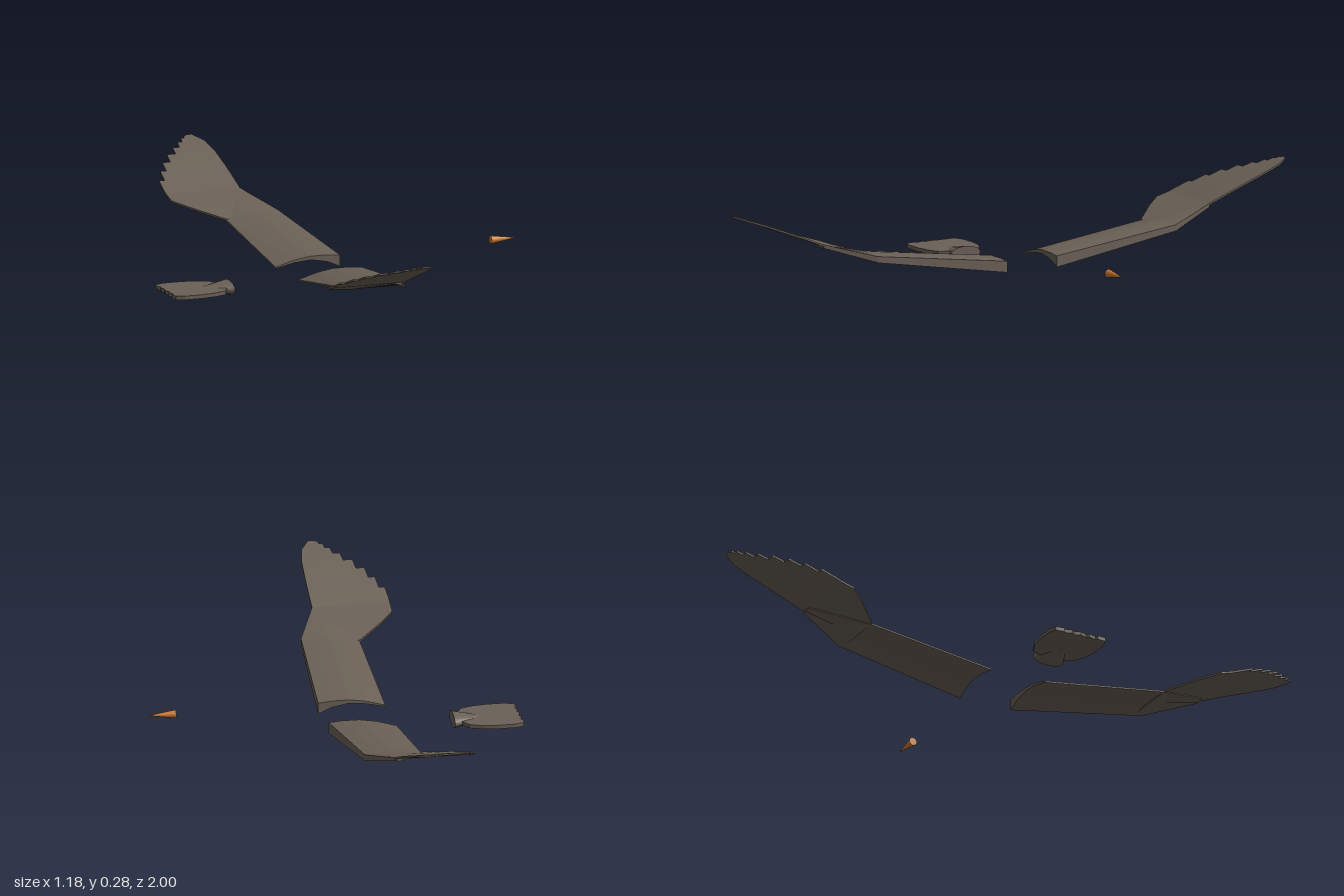
import * as THREE from 'three';

const feather = new THREE.MeshStandardMaterial({ color: 0x6a6056 });
feather.name = 'feather brown';
const horn = new THREE.MeshStandardMaterial({ color: 0xcc7a2c });
horn.name = 'beak orange';

// Piecewise linear lookup through [t, value] pairs.
function lookup(pairs, t) {
  for (let i = 1; i < pairs.length; i++) {
    const [a, va] = pairs[i - 1], [b, vb] = pairs[i];
    if (t <= b) return va + (vb - va) * THREE.MathUtils.clamp((t - a) / (b - a), 0, 1);
  }
  return pairs[pairs.length - 1][1];
}

// Skins closed rings (lower edge rear to front, upper edge front to rear), side -1 mirrors in z.
function loft(rings, side = 1) {
  const pos = [], n = rings[0].length;
  const tri = (a, b, c) => {
    for (const p of side > 0 ? [a, b, c] : [a, c, b]) pos.push(p[0], p[1], p[2] * side);
  };
  const quad = (a, b, c, d) => { tri(a, b, c); tri(a, c, d); };
  for (let r = 0; r < rings.length - 1; r++) {
    const a = rings[r], b = rings[r + 1];
    for (let i = 0; i < n; i++) {
      const j = (i + 1) % n;
      quad(a[i], a[j], b[j], b[i]);
    }
  }
  const first = rings[0], last = rings[rings.length - 1];
  for (let i = 0; i < n / 2 - 1; i++) {
    quad(last[i], last[i + 1], last[n - 2 - i], last[n - 1 - i]);
    quad(first[n - 1 - i], first[n - 2 - i], first[i + 1], first[i]);
  }
  const g = new THREE.BufferGeometry();
  g.setAttribute('position', new THREE.Float32BufferAttribute(pos, 3));
  g.computeVertexNormals();
  return g;
}

function part(name, geometry, material) {
  const m = new THREE.Mesh(geometry, material);
  m.name = name;
  return m;
}

// Cambered arm section: a blunt front edge and a thin, hollow rear.
function armRing(zRear, zFront, rear, front, yRear, yLow, yHigh, camber) {
  const at = (t, y) => [rear + (front - rear) * t, y, zRear + (zFront - zRear) * t];
  const steps = [0, 0.3, 0.55, 0.8, 1];
  const top = t => yRear + 0.005 + (yHigh - yRear - 0.005) * t + camber * Math.sin(Math.PI * t);
  const thick = lookup.bind(null, [[0, 0.005], [0.55, 0.012], [0.8, (yHigh - yLow) * 0.6], [1, yHigh - yLow]]);
  return [
    ...steps.map(t => at(t, top(t) - thick(t))),
    ...steps.slice().reverse().map(t => at(t, top(t))),
  ];
}

const handFront = [[0.52, -0.01], [0.54, -0.003], [0.7, -0.065], [0.8, -0.066], [0.9, -0.07], [0.96, -0.08], [1, -0.108]];
const handRear = [[0.52, -0.183], [0.6, -0.265], [0.655, -0.312], [0.72, -0.313], [0.76, -0.295],
  [0.81, -0.27], [0.86, -0.235], [0.92, -0.185], [0.97, -0.15], [1, -0.128]];
const handHeight = [[0.52, 0.112], [0.6, 0.137], [0.7, 0.165], [0.8, 0.205], [0.9, 0.242], [1, 0.276]];

function handRing(z, rear) {
  const front = lookup(handFront, z), y = lookup(handHeight, z), h = 0.004;
  return [[rear, y - h, z], [front, y - h, z], [front, y + h / 2, z], [rear, y + h / 2, z]];
}

function wing(name, side) {
  const g = new THREE.Group();
  g.name = name;
  // Arm, thinning to a point over the wrist
  g.add(part('wingArm', loft([
    armRing(0.095, 0.09, -0.185, 0.03, 0.045, 0.036, 0.072, 0.014),
    armRing(0.52, 0.54, -0.183, 0, 0.107, 0.104, 0.124, 0.008),
    armRing(0.7, 0.7, -0.1, -0.065, 0.158, 0.155, 0.166, 0),
  ], side), feather));
  // Hand with stepped feather ends along the rear edge
  const rings = [0.52, 0.54, 0.6, 0.655, 0.7].map(z => handRing(z, lookup(handRear, z)));
  const teeth = 9;
  for (let i = 0; i < teeth; i++) {
    const z0 = 0.72 + 0.28 * Math.sin((i / teeth) * Math.PI / 2);
    const z1 = 0.72 + 0.28 * Math.sin(((i + 1) / teeth) * Math.PI / 2);
    const rear = lookup(handRear, z0);
    rings.push(handRing(z0, rear), handRing(z1, rear + 0.004));
  }
  g.add(part('wingHand', loft(rings, side), feather));
  return g;
}

function tail() {
  const g = new THREE.Group();
  g.name = 'tail';
  // Fan of feathers: half outline mirrored across z
  const half = [[-0.39, 0.012], [-0.405, 0.045], [-0.42, 0.075], [-0.46, 0.092], [-0.51, 0.099], [-0.565, 0.098], [-0.592, 0.088],
    [-0.595, 0.06], [-0.588, 0.055], [-0.595, 0.03], [-0.588, 0.022]];
  const outline = [...half, [-0.595, 0], ...half.map(([x, z]) => [x, -z]).reverse()];
  const fan = new THREE.ExtrudeGeometry(new THREE.Shape(outline.map(p => new THREE.Vector2(...p))),
    { depth: 0.012, bevelEnabled: false });
  fan.rotateX(Math.PI / 2);
  fan.translate(0, 0.03, 0);
  g.add(part('tailFan', fan, feather));
  // Flattened cone that joins the body
  const root = new THREE.CylinderGeometry(1, 0.3, 0.09, 16);
  root.rotateZ(-Math.PI / 2);
  root.scale(1, 0.0225, 0.054);
  root.translate(-0.425, 0.0235, 0);
  g.add(part('tailRoot', root, feather));
  return g;
}

export function createModel() {
  const model = new THREE.Group();
  model.name = 'bird';
  model.add(wing('leftSideWing', 1), wing('rightSideWing', -1), tail());
  // Beak
  const beak = new THREE.ConeGeometry(0.0135, 0.088, 12);
  beak.rotateZ(-Math.PI / 2);
  beak.translate(0.544, 0.1, 0);
  model.add(part('beak', beak, horn));
  return model;
}
